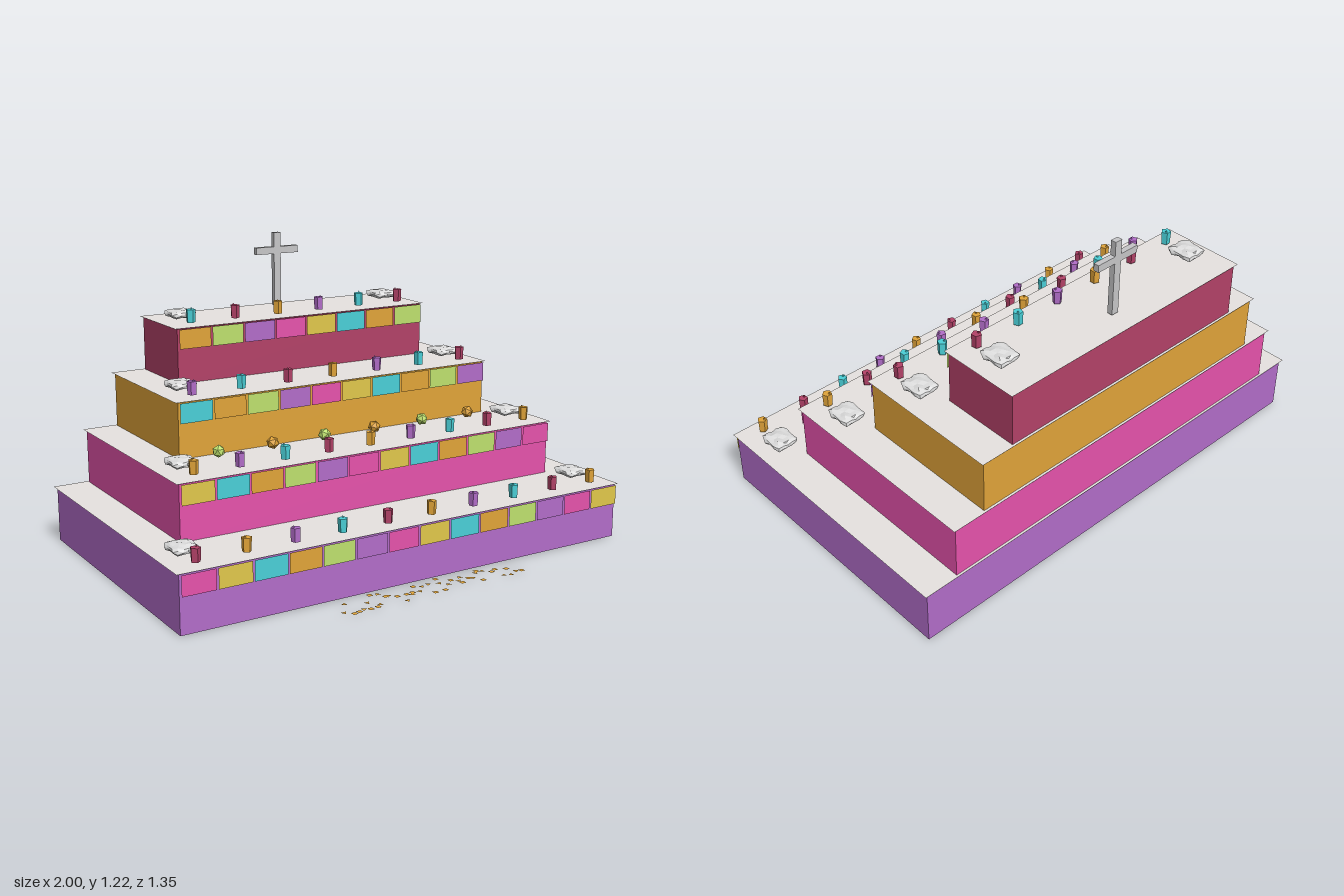
import * as THREE from 'three';

const mat = (name, color, extra = {}) => {
  const m = new THREE.MeshStandardMaterial({ color, ...extra });
  m.name = name;
  return m;
};

export function createModel() {
  const root = new THREE.Group();
  root.name = 'steppedAltar';

  const flat = { flatShading: true };
  const both = { side: THREE.DoubleSide, flatShading: true };
  const purple = mat('purple', 0xb26dc9, both);
  const pink = mat('pink', 0xe653ac, both);
  const orange = mat('marigold orange', 0xe1a439, both);
  const maroon = mat('maroon', 0xb34268, both);
  const teal = mat('teal', 0x4ad0d8, both);
  const green = mat('lime green', 0xbee16e, both);
  const yellow = mat('mustard yellow', 0xe1c84b, both);
  const cloth = mat('pale cloth', 0xebe7e4, both);
  const stone = mat('grey stone', 0xc6c6c8, flat);
  const bread = mat('pale sugar', 0xdedede, flat);

  const add = (parent, name, geo, material, x = 0, y = 0, z = 0) => {
    const m = new THREE.Mesh(geo, material);
    m.name = name;
    m.position.set(x, y, z);
    parent.add(m);
    return m;
  };

  let seed = 11;
  const rand = () => (seed = (seed * 16807) % 2147483647) / 2147483647;

  // Shared small shapes
  const candleGeo = new THREE.CylinderGeometry(0.02, 0.018, 0.053, 5);
  const flameGeo = new THREE.ConeGeometry(0.008, 0.012, 4);
  const flowerGeo = new THREE.IcosahedronGeometry(0.026, 0);

  // Craggy flattened lump with four corner lobes and a waist
  const loafGeo = new THREE.IcosahedronGeometry(1, 2);
  const p = loafGeo.attributes.position;
  for (let i = 0; i < p.count; i++) {
    const x = p.getX(i), y = p.getY(i), z = p.getZ(i);
    const flatness = Math.hypot(x, z);
    const lobe = -Math.cos(4 * Math.atan2(z, x)) * flatness;
    const rough = Math.sin(9 * x + 5 * z + 4 * y) * Math.cos(7 * z - 3 * x);
    const r = 1 + 0.14 * lobe + 0.07 * rough;
    const squashedY = Math.sign(y) * Math.pow(Math.abs(y), 0.6);
    p.setXYZ(i, x * r * 0.057, squashedY * 0.017 * (0.95 + 0.2 * lobe + 0.15 * rough), z * r * 0.064);
  }
  loafGeo.computeVertexNormals();

  const BACK = -0.665, STEP = 0.2245;
  const bannerColors = [pink, yellow, teal, orange, green, purple];
  const candleColors = [maroon, orange, purple, teal];
  const tiers = [
    { half: 0.99, front: 0.507, color: purple, panels: 14, candles: 10, span: 0.9, loafX: 0.897 },
    { half: 0.852, front: 0.227, color: pink, panels: 12, candles: 9, span: 0.767, loafX: 0.762 },
    { half: 0.718, front: -0.054, color: orange, panels: 10, candles: 7, span: 0.632, loafX: 0.627 },
    { half: 0.583, front: -0.335, color: maroon, panels: 8, candles: 6, span: 0.497, loafX: 0.49 },
  ];

  tiers.forEach((t, k) => {
    const tier = new THREE.Group();
    tier.name = `tier${k + 1}`;
    root.add(tier);
    const top = STEP * (k + 1);

    // Step block and its overhanging cloth
    add(tier, 'stepBlock', new THREE.BoxGeometry(t.half * 2, STEP, t.front - BACK),
      t.color, 0, top - STEP / 2, (t.front + BACK) / 2);
    const clothFront = t.front + 0.01, clothBack = BACK - 0.01;
    const sheet = new THREE.PlaneGeometry(t.half * 2 + 0.024, clothFront - clothBack).rotateX(-Math.PI / 2);
    add(tier, 'cloth', sheet, cloth, 0, top + 0.004, (clothFront + clothBack) / 2);

    // Row of paper panels hanging along the front edge
    const pitch = (t.half * 2) / t.panels;
    const panelGeo = new THREE.PlaneGeometry(pitch * 0.95, 0.079);
    for (let i = 0; i < t.panels; i++) {
      add(tier, 'paperPanel', panelGeo, bannerColors[(i + k) % 6],
        -t.half + pitch * (i + 0.5), top - 0.0395, t.front + 0.013);
    }

    // Candles
    for (let i = 0; i < t.candles; i++) {
      const candle = new THREE.Group();
      candle.name = 'candle';
      const color = candleColors[(i + k) % 4];
      add(candle, 'wax', candleGeo, color, 0, 0.0265);
      add(candle, 'flame', flameGeo, color, 0.006, 0.055, -0.006);
      candle.position.set(-t.span + (2 * t.span * i) / (t.candles - 1), top + 0.013, t.front - 0.054);
      candle.rotation.y = rand() * 6;
      tier.add(candle);
    }

    // Sugar loaves at both ends
    for (const s of [1, -1]) {
      add(tier, 'sugarLoaf', loafGeo, bread, s * t.loafX, top + 0.032, t.front - 0.167);
    }
  });

  // Flower heads on the second step
  for (let i = 0; i < 6; i++) {
    const flower = add(root, 'flowerHead', flowerGeo, i % 2 ? orange : green, -0.588 + 0.235 * i, 0.485, 0.02);
    flower.rotation.set(rand() * 3, rand() * 3, 0);
  }

  // Cross at the top
  const cross = new THREE.Group();
  cross.name = 'cross';
  cross.position.z = -0.576;
  add(cross, 'crossPost', new THREE.BoxGeometry(0.032, 0.312, 0.023), stone, 0, 1.068, 0);
  for (const s of [1, -1]) {
    add(cross, 'crossArm', new THREE.BoxGeometry(0.084, 0.03, 0.023), stone, s * 0.058, 1.149, 0);
  }
  root.add(cross);

  // Petals scattered on the ground before the altar
  const petalGeos = [3, 4].map((n) => new THREE.CircleGeometry(0.014, n).rotateX(-Math.PI / 2));
  for (let i = 0; i < 44; i++) {
    const petal = add(root, 'petal', petalGeos[i % 2], orange,
      -0.41 + 0.82 * ((i + rand()) / 44), 0.004, 0.535 + 0.125 * rand());
    petal.rotation.y = Math.floor(rand() * 4) * Math.PI / 2 + (i % 2 ? Math.PI / 4 : 0);
  }

  return root;
}
